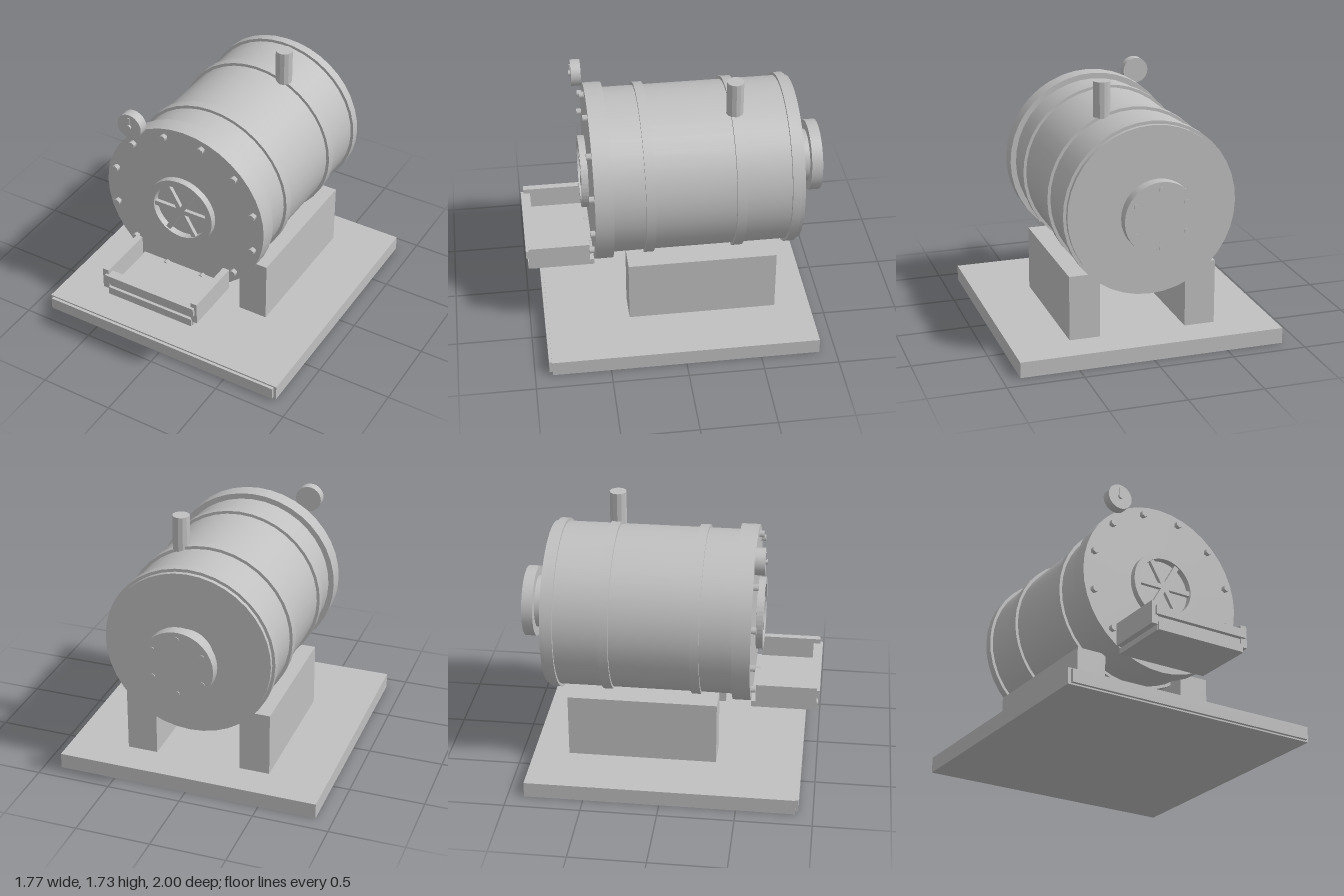
import * as THREE from 'three';

export function createModel() {
  const root = new THREE.Group();
  root.name = 'pressureVessel';
  const grey = new THREE.MeshStandardMaterial({ color: 0xc0c0c0 });
  grey.name = 'machineGrey';
  const AXIS = 0.988; // height of the drum axis

  const add = (name, geo, x = 0, y = 0, z = 0, parent = root) => {
    const mesh = new THREE.Mesh(geo, grey);
    mesh.name = name;
    mesh.position.set(x, y, z);
    parent.add(mesh);
    return mesh;
  };
  // Box given by its limits
  const box = (name, x0, x1, y0, y1, z0, z1) =>
    add(name, new THREE.BoxGeometry(x1 - x0, y1 - y0, z1 - z0), (x0 + x1) / 2, (y0 + y1) / 2, (z0 + z1) / 2);
  // Disc or drum lying along z, given by its z limits
  const drum = (name, r, z0, z1, x = 0, y = AXIS, sides = 40) => {
    const geo = new THREE.CylinderGeometry(r, r, z1 - z0, sides);
    geo.rotateX(Math.PI / 2);
    return add(name, geo, x, y, (z0 + z1) / 2);
  };
  // Circle of hexagonal bolts around the drum axis
  const boltCircle = (name, count, offset, radius, size, z0, z1) => {
    for (let i = 0; i < count; i++) {
      const a = offset + (i / count) * Math.PI * 2;
      drum(name, size, z0, z1, radius * Math.cos(a), AXIS + radius * Math.sin(a), 6);
    }
  };

  // Base plate and pedestals
  box('basePlate', -0.885, 0.885, 0, 0.105, -0.89, 0.885);
  box('baseFrontStrip', -0.865, 0.865, 0.01, 0.095, 0.88, 0.905);
  for (const s of [-1, 1]) {
    add('pedestal', new THREE.BoxGeometry(0.205, 0.44, 0.99), s * 0.393, 0.32, -0.158);
  }

  // Drum, reinforcing bands and front cover
  drum('drumBody', 0.55, -0.813, 0.45);
  for (const [z0, z1] of [[0.158, 0.22], [-0.433, -0.368], [-0.785, -0.727]]) {
    drum('drumBand', 0.57, z0, z1);
  }
  drum('frontCover', 0.588, 0.43, 0.55);
  boltCircle('coverBolt', 12, Math.PI / 12, 0.53, 0.024, 0.54, 0.582);

  // Rear pipe with bolted flange
  drum('rearPipe', 0.175, -0.95, -0.8, 0, AXIS, 32);
  drum('rearFlange', 0.238, -0.994, -0.92, 0, AXIS, 32);
  boltCircle('flangeBolt', 6, Math.PI / 6, 0.19, 0.018, -1, -0.98);

  // Handwheel: rim, three crossing bars and a short shaft
  const rimShape = new THREE.Shape().absarc(0, 0, 0.24, 0, Math.PI * 2);
  rimShape.holes.push(new THREE.Path().absarc(0, 0, 0.195, 0, Math.PI * 2, true));
  add('handwheelRim', new THREE.ExtrudeGeometry(rimShape, { depth: 0.045, bevelEnabled: false, curveSegments: 24 }), 0, AXIS, 0.563);
  for (let i = 0; i < 3; i++) {
    add('handwheelSpoke', new THREE.BoxGeometry(0.41, 0.034, 0.025), 0, AXIS, 0.585).rotation.z = (i * Math.PI) / 3;
  }
  drum('handwheelShaft', 0.016, 0.54, 0.58, 0, AXIS, 12);

  // Gauge with needle
  drum('gaugeBody', 0.088, 0.555, 0.62, -0.355, 1.54, 24);
  drum('gaugePivot', 0.017, 0.61, 0.634, -0.355, 1.54, 12);
  box('gaugeNeedle', -0.361, -0.349, 1.54, 1.605, 0.615, 0.627);

  // Vent stack
  const stack = new THREE.CylinderGeometry(0.056, 0.056, 0.235, 12).toNonIndexed();
  stack.computeVertexNormals();
  add('ventStack', stack, 0.195, 1.617, -0.396);

  // Front tray
  box('trayFloor', -0.32, 0.32, 0.45, 0.49, 0.55, 0.975);
  box('traySideRight', -0.36, -0.315, 0.487, 0.638, 0.58, 0.982);
  box('traySideLeft', 0.308, 0.353, 0.487, 0.638, 0.58, 0.982);
  box('trayFront', -0.32, 0.32, 0.49, 0.6, 0.937, 0.97);
  box('trayTopRail', -0.335, 0.335, 0.547, 0.606, 0.937, 1);
  box('trayLowerRail', -0.315, 0.315, 0.45, 0.505, 0.937, 0.99);

  return root;
}
